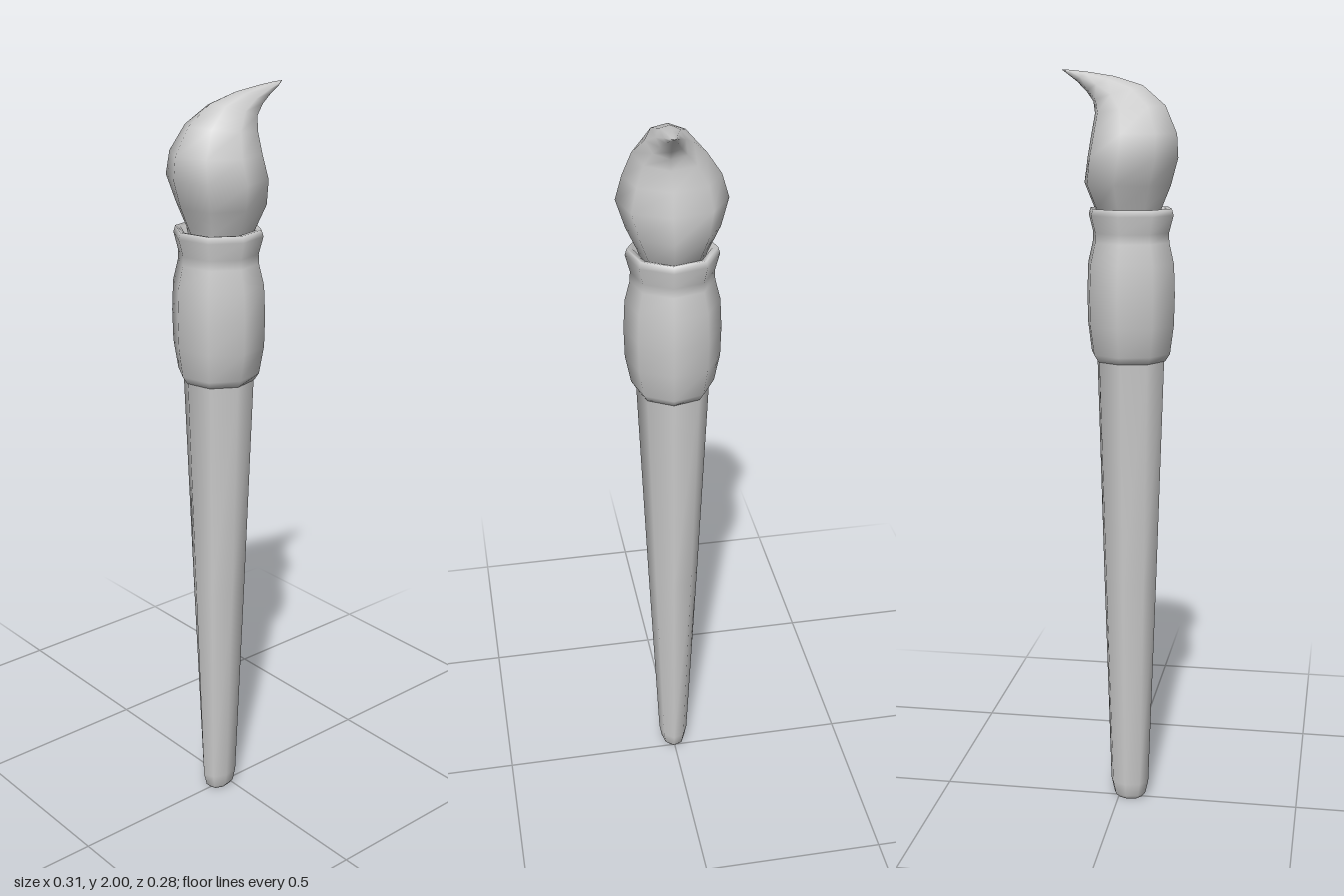
import * as THREE from 'three';

const SIDES = 8;
const PHASE = 0.14;
const AXIS_X = -0.03;

// Skins a smooth eight-sided tube over rings, listed from bottom to top.
// Ring: [left x, left y, right x, right y, z half-width, z centre]
function loft(name, rings, material) {
  const positions = [];
  const indices = [];
  for (const [xl, yl, xr, yr, rz, zc = 0] of rings) {
    for (let i = 0; i < SIDES; i++) {
      const a = PHASE + (i / SIDES) * Math.PI * 2;
      const t = (1 + Math.cos(a)) / 2;
      positions.push(xl + (xr - xl) * t, yl + (yr - yl) * t, zc + Math.sin(a) * rz);
    }
  }
  for (let j = 0; j < rings.length - 1; j++) {
    for (let i = 0; i < SIDES; i++) {
      const a = j * SIDES + i;
      const b = j * SIDES + ((i + 1) % SIDES);
      indices.push(a, a + SIDES, b, b, a + SIDES, b + SIDES);
    }
  }
  const geometry = new THREE.BufferGeometry();
  geometry.setAttribute('position', new THREE.Float32BufferAttribute(positions, 3));
  geometry.setIndex(indices);
  geometry.computeVertexNormals();
  const mesh = new THREE.Mesh(geometry, material);
  mesh.name = name;
  return mesh;
}

// Level ring around the brush axis
const level = (y, rx, rz = rx) => [AXIS_X - rx, y, AXIS_X + rx, y, rz];

export function createModel() {
  const group = new THREE.Group();
  group.name = 'paintbrush';
  const material = new THREE.MeshStandardMaterial({ color: 0xcccccc, side: THREE.DoubleSide });

  // Tapered handle with a rounded butt
  group.add(loft('handle', [
    level(0, 0),
    level(0, 0.034, 0.024),
    level(0.012, 0.045, 0.034),
    level(0.05, 0.054, 0.041),
    level(0.65, 0.074, 0.069),
    level(1.28, 0.093, 0.096),
  ], material));

  // Ferrule: swollen barrel, pinched neck and flared rim
  group.add(loft('ferrule', [
    level(1.26, 0.08),
    level(1.255, 0.095),
    level(1.275, 0.108),
    level(1.35, 0.118, 0.123),
    level(1.43, 0.12, 0.125),
    level(1.51, 0.117, 0.121),
    level(1.565, 0.104, 0.107),
    level(1.59, 0.103, 0.106),
    level(1.635, 0.115, 0.118),
    level(1.652, 0.11, 0.113),
    level(1.65, 0.098),
    level(1.61, 0.075),
  ], material));

  // Bristles: full belly sweeping over to a hooked point
  group.add(loft('bristles', [
    level(1.61, 0.075),
    [-0.112, 1.65, 0.068, 1.65, 0.088],
    [-0.137, 1.71, 0.096, 1.715, 0.117],
    [-0.156, 1.78, 0.088, 1.78, 0.139],
    [-0.152, 1.84, 0.077, 1.84, 0.121],
    [-0.12, 1.91, 0.068, 1.89, 0.09, 0.008],
    [-0.06, 1.96, 0.072, 1.92, 0.058, 0.014],
    [0.015, 1.983, 0.09, 1.945, 0.035, 0.019],
    [0.085, 1.994, 0.115, 1.97, 0.02, 0.024],
    [0.132, 1.999, 0.139, 1.988, 0.011, 0.027],
    [0.155, 2, 0.155, 2, 0, 0.028],
  ], material));

  return group;
}
